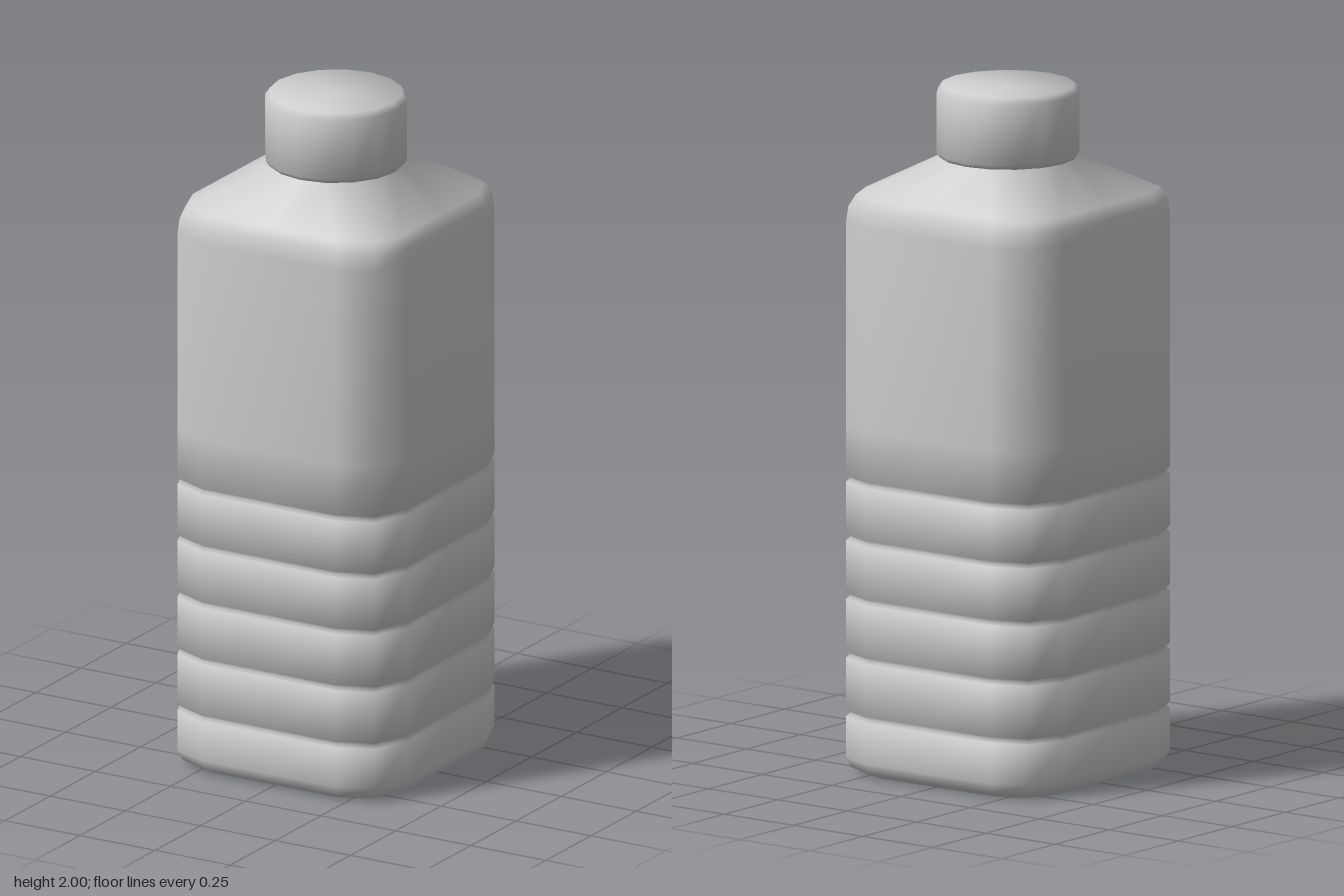
import * as THREE from 'three';

const SIDES = 16;

// Cross-section: square with cut corners, half width 1
function squarePoint(i) {
  const quarter = [[1, 0], [1, 0.6], [0.883, 0.883], [0.6, 1]];
  let [x, z] = quarter[i % 4];
  for (let k = 0; k < Math.floor(i / 4); k++) [x, z] = [-z, x];
  return [x, z];
}

function circlePoint(i) {
  const a = (i / SIDES) * Math.PI * 2;
  return [Math.cos(a), Math.sin(a)];
}

// Skin stacked rings [height, half width, roundness 0..1], listed bottom to top
function loft(rings) {
  const pos = [], index = [];
  for (const [y, size, round] of rings) {
    for (let i = 0; i < SIDES; i++) {
      const s = squarePoint(i), c = circlePoint(i);
      pos.push(
        size * THREE.MathUtils.lerp(s[0], c[0], round), y,
        size * THREE.MathUtils.lerp(s[1], c[1], round));
    }
  }
  for (let r = 0; r < rings.length - 1; r++) {
    for (let i = 0; i < SIDES; i++) {
      const a = r * SIDES + i, b = r * SIDES + (i + 1) % SIDES;
      const c = a + SIDES, d = b + SIDES;
      if (rings[r][1] > 0) index.push(a, c, b);
      if (rings[r + 1][1] > 0) index.push(b, c, d);
      else if (rings[r][1] > 0) index[index.length - 2] = c;
    }
  }
  const geo = new THREE.BufferGeometry();
  geo.setAttribute('position', new THREE.Float32BufferAttribute(pos, 3));
  geo.setIndex(index);
  softNormals(geo);
  return geo;
}

// Smooth normals giving each adjoining face equal weight, so bevels stay soft
function softNormals(geo) {
  const p = geo.attributes.position, idx = geo.index;
  const sums = Array.from({ length: p.count }, () => new THREE.Vector3());
  const tri = new THREE.Triangle(), n = new THREE.Vector3();
  for (let t = 0; t < idx.count; t += 3) {
    const ids = [0, 1, 2].map((k) => idx.getX(t + k));
    tri.setFromAttributeAndIndices(p, ...ids);
    tri.getNormal(n);
    ids.forEach((id) => sums[id].add(n));
  }
  const normals = sums.flatMap((v) => v.normalize().toArray());
  geo.setAttribute('normal', new THREE.Float32BufferAttribute(normals, 3));
}

export function createModel() {
  const group = new THREE.Group();
  group.name = 'bottle';
  const plastic = new THREE.MeshStandardMaterial({ color: 0xcccccc });
  plastic.name = 'grey plastic';

  const add = (name, rings) => {
    const mesh = new THREE.Mesh(loft(rings), plastic);
    mesh.name = name;
    group.add(mesh);
  };

  // Base with rounded lower edge
  const W = 0.373;
  const body = [[0.005, 0, 0], [0.005, 0.335, 0], [0.02, 0.362, 0], [0.05, W, 0]];
  // Five grooves between the grip bands
  for (let k = 0; k < 5; k++) {
    const y = 0.178 + k * 0.171;
    body.push([y - 0.009, W, 0], [y, 0.364, 0], [y + 0.009, W, 0]);
  }
  // Plain upper wall, shoulder and round neck
  body.push([1.02, W, 0], [1.61, W, 0], [1.655, 0.368, 0], [1.69, 0.35, 0]);
  body.push([1.79, 0.19, 1], [1.83, 0.18, 1]);
  add('body', body);

  // Screw cap with slightly bevelled rims
  add('cap', [
    [1.79, 0, 1], [1.79, 0.195, 1], [1.803, 0.205, 1],
    [1.982, 0.205, 1], [2, 0.192, 1], [2, 0, 1],
  ]);
  return group;
}
